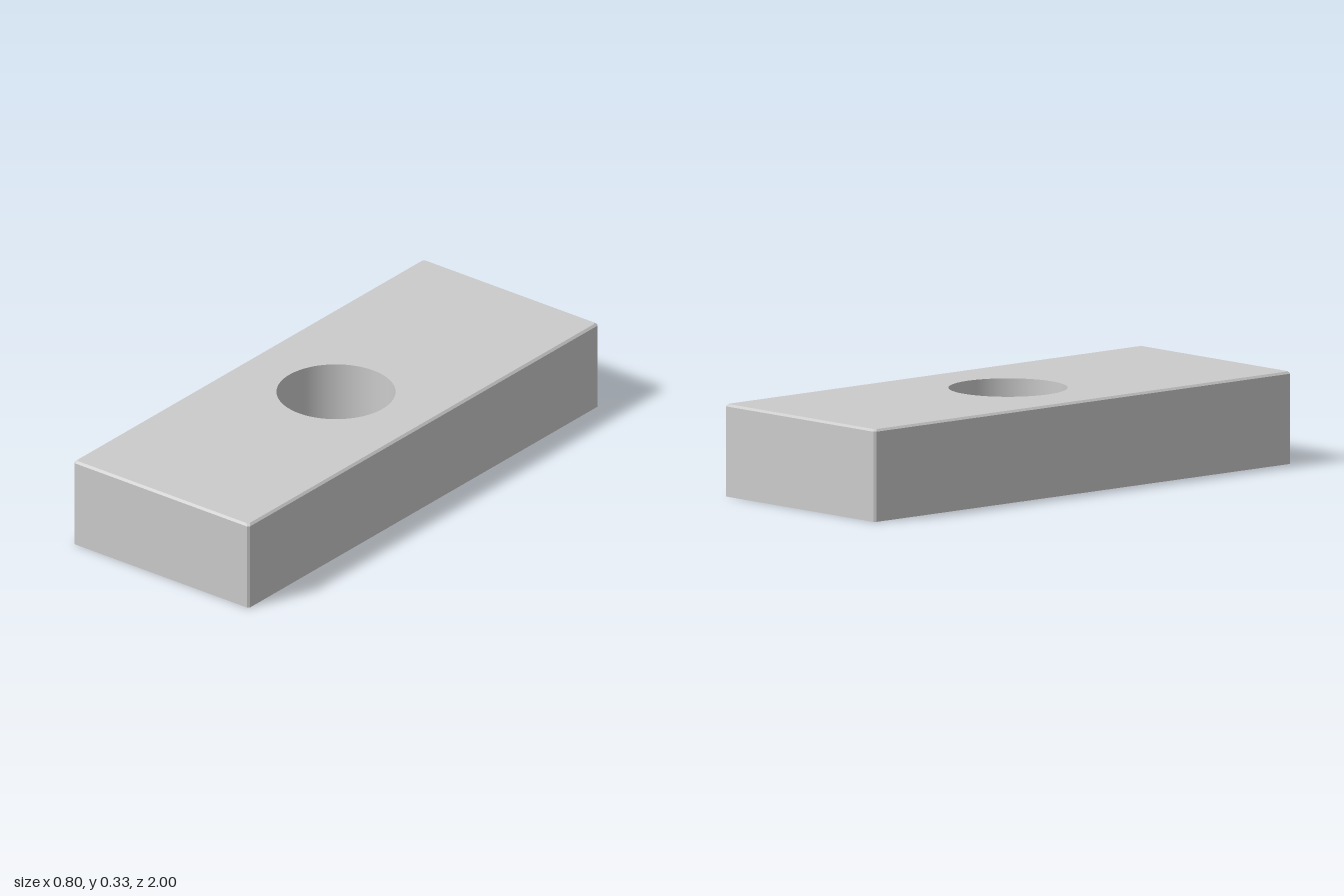
import * as THREE from 'three';

const W = 0.8, L = 2, H = 0.333, C = 0.008; // block size and chamfer
const BORE = 0.212, PIN = 0.078, PIN_Z = 0.6, PIN_DEPTH = 0.2, RIM = 0.053;

const grey = (side = THREE.FrontSide) => new THREE.MeshStandardMaterial({ color: 0xcccccc, side });

function add(group, name, geometry, side) {
  const mesh = new THREE.Mesh(geometry, grey(side));
  mesh.name = name;
  group.add(mesh);
  return mesh;
}

// Rectangle with cut corners, counter-clockwise
function outline(w, l, c) {
  const x = w / 2, y = l / 2;
  return [[x, c - y], [x, y - c], [x - c, y], [c - x, y], [-x, y - c], [-x, c - y], [c - x, -y], [x - c, -y]]
    .map(([a, b]) => new THREE.Vector2(a, b));
}

function rectangle(w, l) {
  const x = w / 2, y = l / 2;
  return [[x, -y], [x, y], [-x, y], [-x, -y]].map(([a, b]) => new THREE.Vector2(a, b));
}

const circle = (y, r) => new THREE.Path().absarc(0, y, r, 0, Math.PI * 2);

// Flat horizontal face with holes, looking up or down
function face(points, holes, y, up) {
  const shape = new THREE.Shape(points);
  shape.holes.push(...holes);
  return new THREE.ShapeGeometry(shape, 48).rotateX(up ? -Math.PI / 2 : Math.PI / 2).translate(0, y, 0);
}

// Flat-shaded walls joining stacked outlines
function walls(rings) {
  const positions = [];
  for (let k = 0; k + 1 < rings.length; k++) {
    const low = rings[k], high = rings[k + 1], n = low.points.length;
    for (let i = 0; i < n; i++) {
      const j = (i + 1) % n;
      const corner = (ring, m) => [ring.points[m].x, ring.y, -ring.points[m].y];
      const a = corner(low, i), b = corner(low, j), c = corner(high, i), d = corner(high, j);
      positions.push(...a, ...b, ...d, ...a, ...d, ...c);
    }
  }
  const geometry = new THREE.BufferGeometry();
  geometry.setAttribute('position', new THREE.Float32BufferAttribute(positions, 3));
  geometry.computeVertexNormals();
  return geometry;
}

export function createModel() {
  const model = new THREE.Group();
  model.name = 'drilledBlock';

  // Outer block with chamfered upright and top edges
  const full = outline(W, L, C), inset = outline(W - 2 * C, L - 2 * C, C);
  add(model, 'blockSides', walls([{ points: full, y: 0 }, { points: full, y: H - C }, { points: inset, y: H }]));
  add(model, 'blockTop', face(inset, [circle(0, BORE)], H, true));

  // Underside: rim around a flush base plate
  const plate = rectangle(W - 2 * RIM, L - 2 * RIM);
  add(model, 'bottomRim', face(full, [new THREE.Path(plate)], 0, false));
  add(model, 'basePlate', face(plate, [circle(0, BORE), circle(PIN_Z, PIN), circle(-PIN_Z, PIN)], 0, false));

  // Central through hole
  add(model, 'centreBore', new THREE.CylinderGeometry(BORE, BORE, H, 96, 1, true).translate(0, H / 2, 0), THREE.BackSide);

  // Two blind holes in the underside
  for (const z of [-PIN_Z, PIN_Z]) {
    const hole = new THREE.Group();
    hole.name = z > 0 ? 'frontPinHole' : 'backPinHole';
    hole.position.z = z;
    add(hole, 'pinHoleWall',
      new THREE.CylinderGeometry(PIN, PIN, PIN_DEPTH, 64, 1, true).translate(0, PIN_DEPTH / 2, 0), THREE.BackSide);
    add(hole, 'pinHoleEnd', new THREE.CircleGeometry(PIN, 64).rotateX(Math.PI / 2).translate(0, PIN_DEPTH, 0));
    model.add(hole);
  }
  return model;
}
